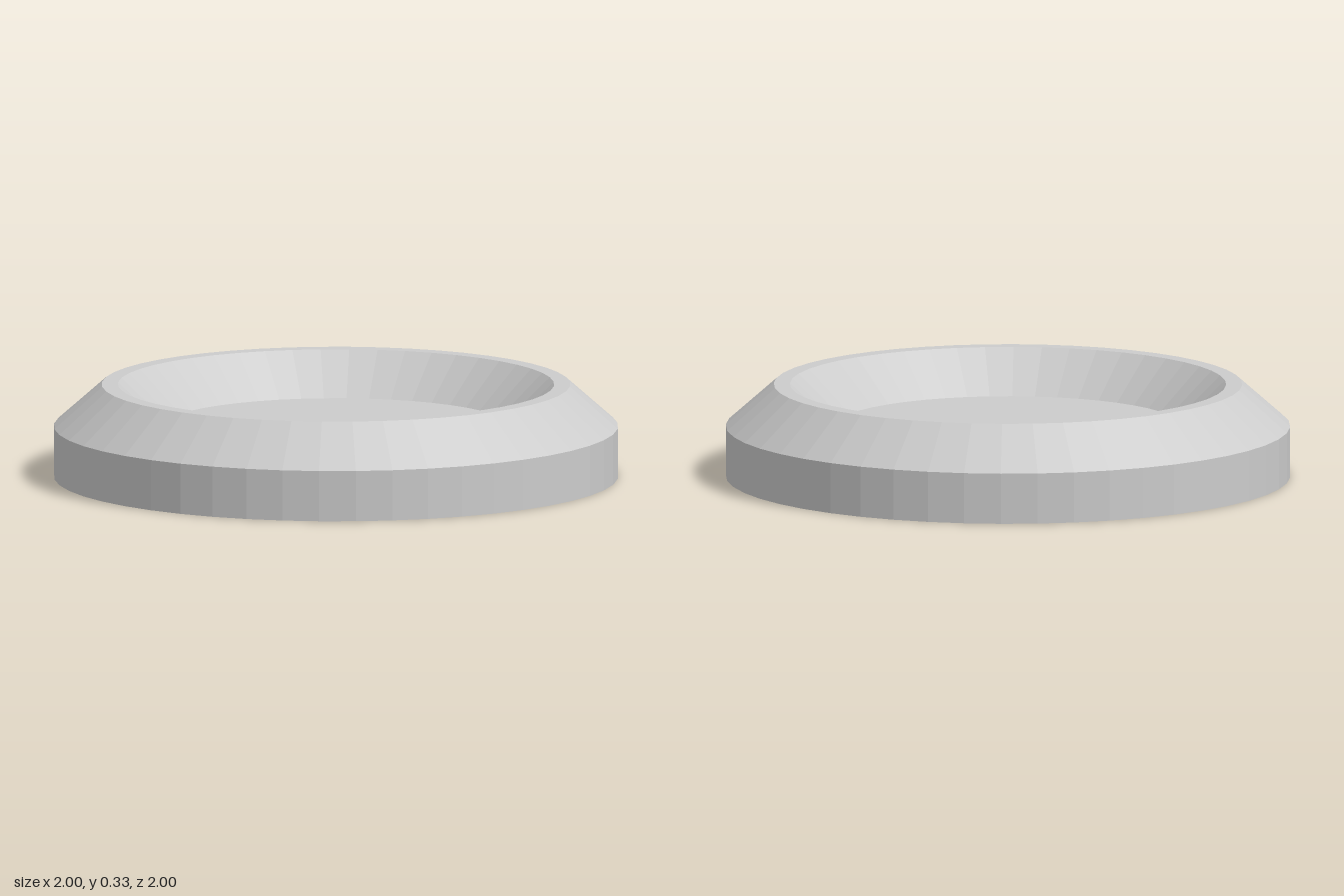
import * as THREE from 'three';

export function createModel() {
  const group = new THREE.Group();
  group.name = 'shallowDish';

  // Closed profile from the underside centre, over the rim, to the recessed floor
  const profile = [
    [0, 0],
    [1, 0],
    [1, 0.18],
    [0.83, 0.33],
    [0.773, 0.33],
    [0.615, 0.18],
    [0, 0.18],
  ].map(([radius, y]) => new THREE.Vector2(radius, y));

  const dish = new THREE.Mesh(
    new THREE.LatheGeometry(profile, 48),
    new THREE.MeshStandardMaterial({ color: 0xcccccc, flatShading: true })
  );
  dish.name = 'dishBody';
  group.add(dish);

  return group;
}
